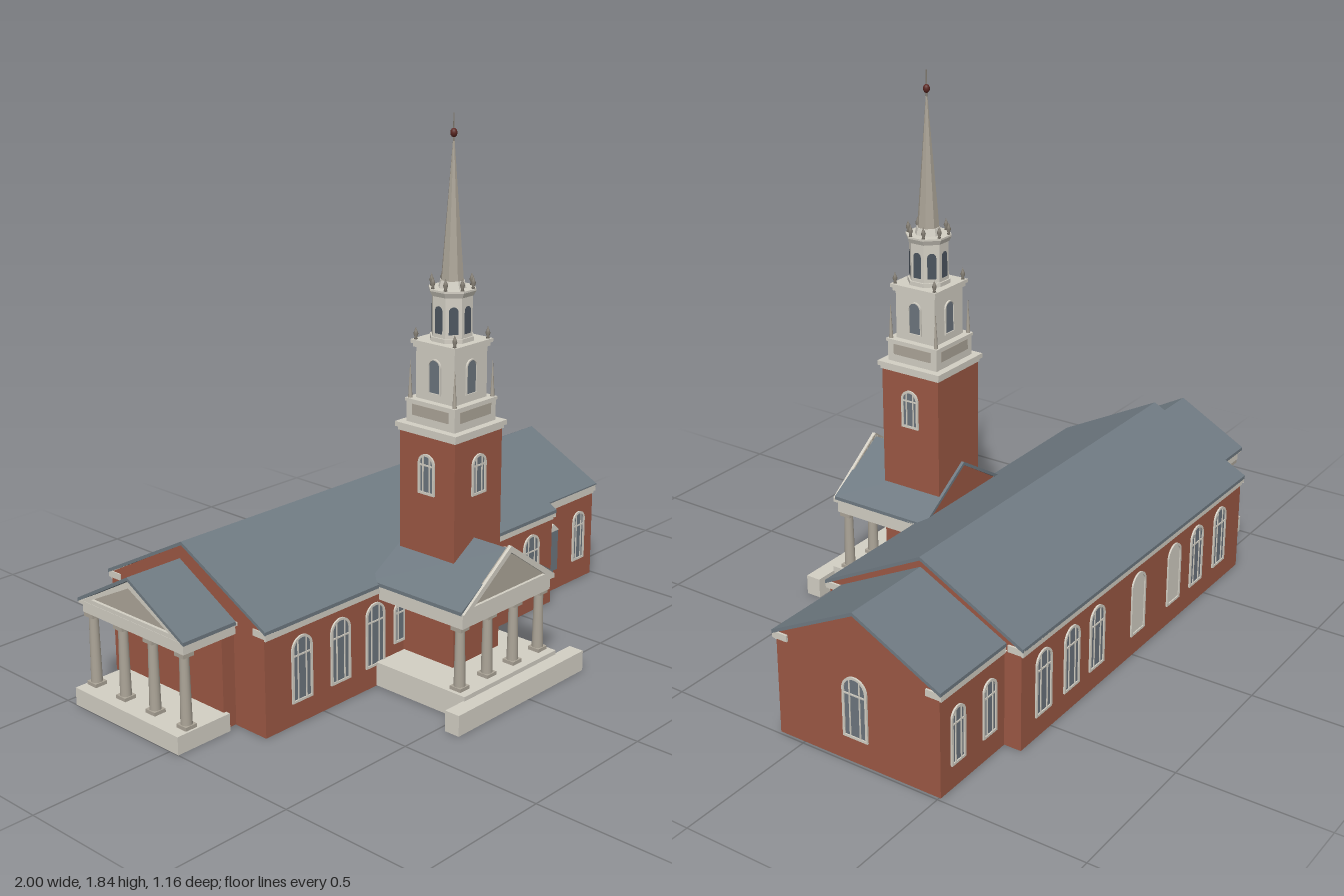
import * as THREE from 'three';

const mat = (name, color, side = THREE.FrontSide) => {
  const m = new THREE.MeshStandardMaterial({ color, side });
  m.name = name;
  return m;
};

export function createModel() {
  const brick = mat('brick', 0x9c5844, THREE.DoubleSide);
  const slate = mat('slate', 0x6f7a82, THREE.DoubleSide);
  const trim = mat('whiteTrim', 0xd3cfc4);
  const stone = mat('warmStone', 0xaca598);
  const glass = mat('glass', 0x6c757e);
  const darkGlass = mat('darkGlass', 0x4c555f);
  const finialGrey = mat('finialGrey', 0x857f74);
  const copper = mat('darkRed', 0x5c2722);

  const model = new THREE.Group();
  model.name = 'church';

  const add = (name, geo, material, x = 0, y = 0, z = 0, parent = model) => {
    const m = new THREE.Mesh(geo, material);
    m.name = name;
    m.position.set(x, y, z);
    parent.add(m);
    return m;
  };
  // Box given by its limits
  const box = (name, material, x0, x1, y0, y1, z0, z1, parent = model) =>
    add(name, new THREE.BoxGeometry(x1 - x0, y1 - y0, z1 - z0), material,
      (x0 + x1) / 2, (y0 + y1) / 2, (z0 + z1) / 2, parent);
  const poly = (pts) => new THREE.Shape(pts.map(([x, y]) => new THREE.Vector2(x, y)));
  const extrude = (shape, depth) => new THREE.ExtrudeGeometry(shape, { depth, bevelEnabled: false, curveSegments: 10 });
  const flat = (geo) => {
    const g = geo.toNonIndexed();
    g.computeVertexNormals();
    return g;
  };
  const octagon = (r0, r1, h) => flat(new THREE.CylinderGeometry(r1, r0, h, 8).rotateY(Math.PI / 8));

  // Round-headed opening, bottom centre at the origin
  const arch = (w, h) => {
    const s = new THREE.Shape(), r = w / 2;
    s.moveTo(-r, 0).lineTo(r, 0).lineTo(r, h - r);
    s.absarc(0, h - r, r, 0, Math.PI, false);
    s.lineTo(-r, 0);
    return s;
  };
  const archWindow = (name, w, h, x, y, z, turn, { bars = true, pane = glass, frame = 0.008 } = {}) => {
    const g = new THREE.Group();
    g.name = name;
    g.position.set(x, y, z);
    g.rotation.y = turn;
    model.add(g);
    add('pane', new THREE.ShapeGeometry(arch(w, h), 10), pane, 0, 0, 0.002, g);
    if (frame) {
      const rim = arch(w, h), f = frame;
      const r = w / 2 - f, hole = new THREE.Path();
      hole.moveTo(-r, f).lineTo(r, f).lineTo(r, h - w / 2);
      hole.absarc(0, h - w / 2, r, 0, Math.PI, false);
      hole.lineTo(-r, f);
      rim.holes.push(hole);
      add('frame', extrude(rim, 0.006), trim, 0, 0, 0, g);
    }
    if (bars) {
      for (const s of [-1, 1]) box('mullion', trim, s * w * 0.2 - 0.002, s * w * 0.2 + 0.002, 0, h - w * 0.12, 0.001, 0.005, g);
      box('transom', trim, -w / 2, w / 2, h * 0.7, h * 0.7 + 0.005, 0.001, 0.005, g);
    }
  };

  // Gabled roof sheet with its ridge along local z, starting at the origin
  const roofGeo = (half, eave, ridge, length, t = 0.012) => extrude(poly([
    [-half, eave], [-half, eave - t], [0, ridge - t], [half, eave - t], [half, eave], [0, ridge]]), length);

  // Brick hall: open below, ridge along x
  const EAVE = 0.357;
  const hall = (name, x0, x1, zc, half, ridge, roofX0, roofX1, over) => {
    const g = new THREE.Group();
    g.name = name;
    model.add(g);
    const wallTop = EAVE - 0.008;
    const end = new THREE.ShapeGeometry(poly([[-half, 0], [half, 0], [half, wallTop], [0, ridge - 0.01], [-half, wallTop]]));
    add('rightGable', end, brick, x0, 0, zc, g).rotation.y = -Math.PI / 2;
    add('leftGable', end, brick, x1, 0, zc, g).rotation.y = Math.PI / 2;
    const side = new THREE.PlaneGeometry(x1 - x0, wallTop);
    add('frontWall', side, brick, (x0 + x1) / 2, wallTop / 2, zc + half, g);
    add('backWall', side, brick, (x0 + x1) / 2, wallTop / 2, zc - half, g).rotation.y = Math.PI;
    add('roof', roofGeo(half + over, EAVE, ridge, roofX1 - roofX0), slate, roofX0, 0, zc, g).rotation.y = Math.PI / 2;
    for (const s of [-1, 1]) {
      const zo = zc + s * (half + over), zi = zc + s * (half - 0.045), zm = zc + s * (half + 0.006);
      box('cornice', trim, roofX0 + 0.003, roofX1 - 0.003, 0.336, 0.352, Math.min(zo, zc + s * half), Math.max(zo, zc + s * half), g);
      box('frieze', trim, x0, x1, 0.322, 0.336, Math.min(zm, zc + s * half), Math.max(zm, zc + s * half), g);
      for (const [a, b] of [[roofX0 + 0.003, x0], [x1, roofX1 - 0.003]])
        box('corniceReturn', trim, a, b, 0.33, 0.352, Math.min(zo, zi), Math.max(zo, zi), g);
    }
  };
  hall('nave', -0.75, 0.665, -0.205, 0.36, 0.55, -0.757, 0.675, 0.012);
  hall('wing', 0.665, 0.99, -0.205, 0.3, 0.515, 0.67, 1.0, 0.01);

  // Nave and wing windows
  const BACK = Math.PI;
  for (const x of [-0.595, -0.425, -0.265, 0.235, 0.385, 0.545]) archWindow('naveWindow', 0.088, 0.22, x, 0.075, 0.155, 0);
  for (const x of [-0.595, -0.425, 0.235, 0.385, 0.545]) archWindow('naveWindow', 0.088, 0.22, x, 0.075, -0.565, BACK);
  for (const x of [-0.265, -0.025]) archWindow('blindArch', 0.088, 0.22, x, 0.075, -0.565, BACK, { pane: trim, bars: false });
  for (const x of [-0.142, 0.1]) archWindow('porchWindow', 0.068, 0.145, x, 0.12, 0.155, 0);
  archWindow('wingWindow', 0.07, 0.19, 0.905, 0.08, 0.095, 0);
  for (const x of [0.745, 0.905]) archWindow('wingWindow', 0.07, 0.19, x, 0.08, -0.505, BACK);
  archWindow('endWindow', 0.092, 0.21, 0.99, 0.085, -0.2, Math.PI / 2);
  box('wingDoor', glass, 0.715, 0.777, 0.08, 0.235, 0.095, 0.1);
  add('doorHead', extrude(poly([[-0.034, 0], [0.034, 0], [0, 0.03]]), 0.007), trim, 0.746, 0.235, 0.095);

  // Column with base and capital
  const column = (x, y0, y1, z) => {
    const g = new THREE.Group();
    g.name = 'column';
    model.add(g);
    add('shaft', new THREE.CylinderGeometry(0.015, 0.019, y1 - y0, 16), stone, x, (y0 + y1) / 2, z, g);
    box('plinth', stone, x - 0.022, x + 0.022, y0, y0 + 0.012, z - 0.022, z + 0.022, g);
    box('capital', stone, x - 0.021, x + 0.021, y1 - 0.014, y1, z - 0.021, z + 0.021, g);
  };
  // Triangular pediment with raised border, facing local +z
  const pediment = (half, h) => {
    const g = new THREE.Group();
    g.name = 'pediment';
    const rim = poly([[-half, 0], [half, 0], [0, h]]);
    rim.holes.push(poly([[-half + 0.05, 0.014], [half - 0.05, 0.014], [0, h - 0.022]]));
    add('tympanum', extrude(poly([[-half, 0], [half, 0], [0, h]]), 0.004), stone, 0, 0, 0, g);
    add('border', extrude(rim, 0.014), trim, 0, 0, 0, g);
    model.add(g);
    return g;
  };

  // Front portico
  const PX = -0.028;
  box('frontStep', trim, -0.345, 0.287, 0, 0.07, 0.525, 0.58);
  box('porticoFloor', trim, -0.26, 0.203, 0.003, 0.085, 0.157, 0.53);
  for (const x of [-0.225, -0.092, 0.038, 0.17]) column(x, 0.085, 0.3, 0.48);
  box('entablature', trim, -0.247, 0.192, 0.3, 0.34, 0.157, 0.508);
  box('porticoCornice', trim, -0.257, 0.202, 0.34, 0.355, 0.16, 0.518);
  add('porticoRoof', roofGeo(0.23, 0.362, 0.505, 0.385), slate, PX, 0, 0.127);
  add('porticoBackGable', new THREE.ShapeGeometry(poly([[-0.21, 0.36], [0.21, 0.36], [0, 0.494]])), brick, PX, 0, 0.132);
  pediment(0.228, 0.163).position.set(PX, 0.354, 0.507);

  // Side portico
  box('sideFloor', trim, -1, -0.79, 0, 0.06, -0.455, 0.037);
  box('sideVestibule', brick, -0.8, -0.75, 0.002, 0.312, -0.44, 0.02);
  for (const z of [-0.425, -0.28, -0.138, 0.007]) column(-0.938, 0.06, 0.31, z);
  box('sideEntablature', trim, -0.96, -0.752, 0.31, 0.34, -0.448, 0.03);
  box('sideCornice', trim, -0.968, -0.752, 0.34, 0.352, -0.458, 0.04);
  add('sideRoof', roofGeo(0.251, 0.357, 0.495, 0.21), slate, -0.97, 0, -0.209).rotation.y = Math.PI / 2;
  const sidePediment = pediment(0.235, 0.128);
  sidePediment.position.set(-0.953, 0.352, -0.209);
  sidePediment.rotation.y = -Math.PI / 2;

  // Tower
  const TX = -0.011, TZ = 0.2525;
  const tier = (name, material, half, y0, y1) => box(name, material, TX - half, TX + half, y0, y1, TZ - half, TZ + half);
  tier('towerShaft', brick, 0.115, 0, 0.845);
  tier('towerFrieze', trim, 0.119, 0.84, 0.852);
  tier('towerCornice', trim, 0.126, 0.852, 0.868);
  tier('belfryBase', trim, 0.1, 0.868, 0.94);
  tier('belfryBaseCap', trim, 0.104, 0.936, 0.946);
  tier('belfry', trim, 0.079, 0.946, 1.118);
  tier('belfryCornice', trim, 0.086, 1.112, 1.124);
  tier('belfryCap', trim, 0.092, 1.124, 1.136);
  for (let i = 0; i < 4; i++) {
    const a = i * Math.PI / 2, s = Math.sin(a), c = Math.cos(a);
    if (i !== 2) archWindow('towerWindow', 0.068, 0.135, TX + s * 0.115, 0.648, TZ + c * 0.115, a);
    archWindow('belfryWindow', 0.052, 0.115, TX + s * 0.079, 0.97, TZ + c * 0.079, a, { bars: false, frame: 0.004 });
    const panel = add('basePanel', new THREE.BoxGeometry(0.15, 0.036, 0.004), stone, TX + s * 0.1, 0.912, TZ + c * 0.1);
    panel.rotation.y = a;
  }

  // Urn finials and slim corner pinnacles
  const urn = new THREE.LatheGeometry([[0, 0], [0.007, 0], [0.004, 0.008], [0.008, 0.02], [0.005, 0.028], [0, 0.042]]
    .map(([x, y]) => new THREE.Vector2(x, y)), 10);
  for (const sx of [-1, 1]) for (const sz of [-1, 1]) {
    add('pinnacle', new THREE.ConeGeometry(0.007, 0.13, 8), stone, TX + sx * 0.092, 1.011, TZ + sz * 0.092);
    add('finial', urn, finialGrey, TX + sx * 0.08, 1.134, TZ + sz * 0.08);
  }

  // Octagonal lantern
  add('lantern', octagon(0.067, 0.067, 0.155), trim, TX, 1.2125, TZ);
  add('lanternFoot', octagon(0.073, 0.073, 0.014), trim, TX, 1.143, TZ);
  add('lanternCornice', octagon(0.07, 0.078, 0.016), trim, TX, 1.288, TZ);
  add('lanternCap', octagon(0.078, 0.078, 0.006), trim, TX, 1.299, TZ);
  const inner = 0.067 * Math.cos(Math.PI / 8);
  for (let i = 0; i < 8; i++) {
    const a = i * Math.PI / 4, b = a + Math.PI / 8;
    archWindow('lanternWindow', 0.03, 0.088, TX + Math.sin(a) * inner, 1.163, TZ + Math.cos(a) * inner, a,
      { bars: false, frame: 0, pane: darkGlass });
    add('finial', urn, finialGrey, TX + Math.sin(b) * 0.068, 1.3, TZ + Math.cos(b) * 0.068);
  }

  // Spire
  add('spireFoot', octagon(0.046, 0.04, 0.025), trim, TX, 1.313, TZ);
  add('spire', octagon(0.038, 0.003, 0.44), stone, TX, 1.535, TZ);
  add('spireRod', new THREE.CylinderGeometry(0.002, 0.003, 0.1, 8), finialGrey, TX, 1.79, TZ);
  add('spireBall', new THREE.SphereGeometry(0.011, 14, 10).scale(1, 1.3, 1), copper, TX, 1.78, TZ);

  return model;
}
